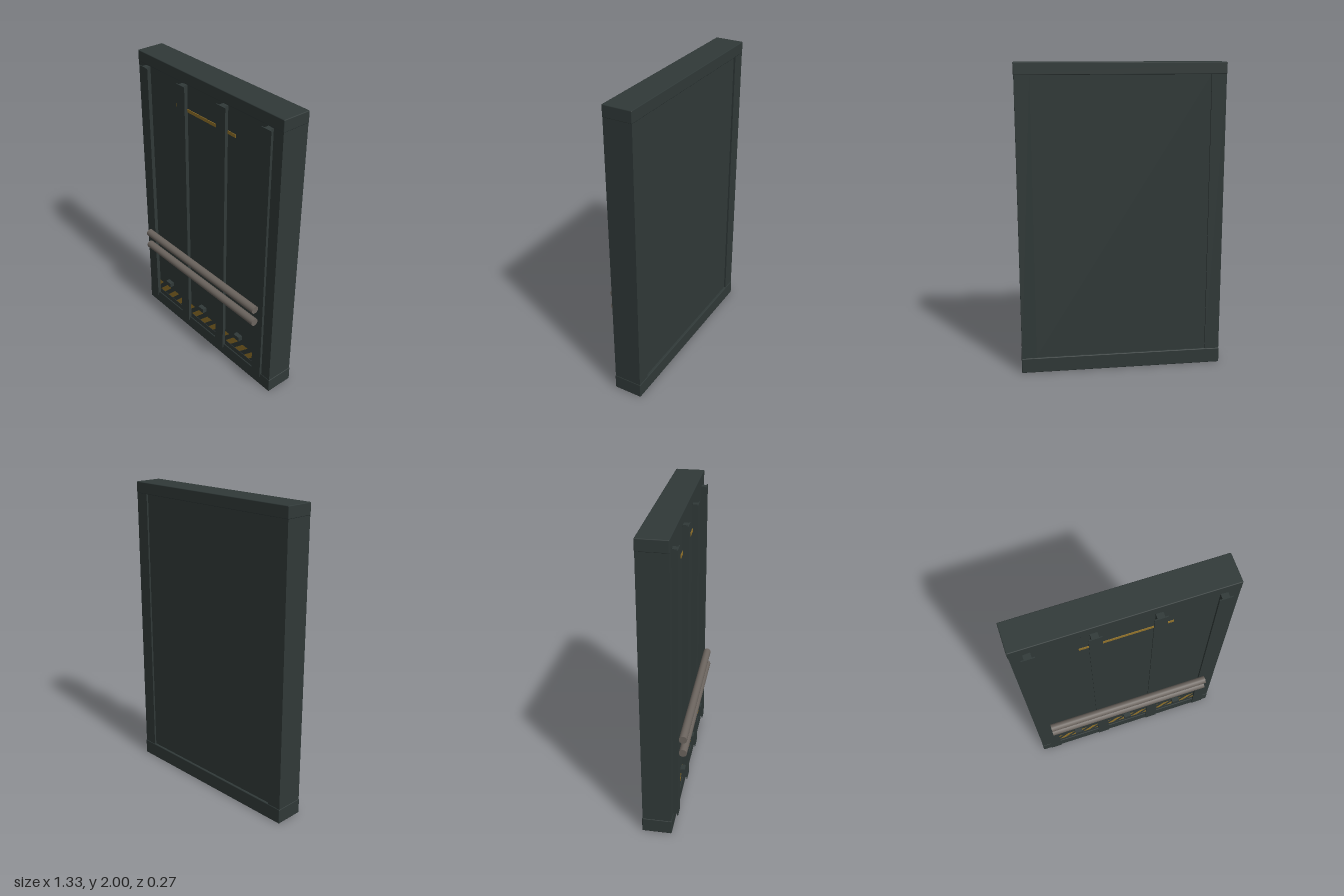
import * as THREE from 'three';
import { RoundedBoxGeometry } from 'three/addons/geometries/RoundedBoxGeometry.js';

const mat = (name, color) => Object.assign(new THREE.MeshStandardMaterial({ color }), { name });

export function createModel() {
  const model = new THREE.Group();
  model.name = 'wallPanel';
  const dark = mat('darkGreenSteel', 0x303938);
  const yellow = mat('hazardYellow', 0x92722a);
  const pipe = mat('pipeMetal', 0x6b645e);

  const add = (name, geo, material, x = 0, y = 0, z = 0) => {
    const mesh = new THREE.Mesh(geo, material);
    mesh.name = name;
    mesh.position.set(x, y, z);
    model.add(mesh);
    return mesh;
  };
  // Box given by its low and high limits on each axis
  const box = (name, [x0, x1], [y0, y1], [z0, z1], material = dark, bevel = 0) => {
    const s = [x1 - x0, y1 - y0, z1 - z0];
    const geo = bevel ? new RoundedBoxGeometry(...s, 1, bevel) : new THREE.BoxGeometry(...s);
    return add(name, geo, material, (x0 + x1) / 2, (y0 + y1) / 2, (z0 + z1) / 2);
  };

  // Base and top beams
  box('baseBeam', [-0.663, 0.663], [0, 0.1], [-0.137, 0.056], dark, 0.005);
  box('topBeam', [-0.663, 0.663], [1.925, 2], [-0.135, 0.055], dark, 0.005);

  // Corner posts and the slightly recessed wall between them
  for (const side of [-1, 1]) {
    const xs = [side * 0.565, side * 0.66].sort((a, b) => a - b);
    box('cornerPost', xs, [0.095, 1.93], [-0.133, 0.053]);
  }
  box('wall', [-0.57, 0.57], [0.095, 1.93], [-0.121, 0.05]);

  // T-section rails on the front
  for (const x of [-0.5625, -0.1875, 0.1875, 0.5625]) {
    box('railWeb', [x - 0.022, x + 0.022], [0.103, 1.922], [0.048, 0.084]);
    box('railFlange', [x - 0.04, x + 0.04], [0.103, 1.922], [0.082, 0.088]);
  }

  // Small blocks and kick plates in each bay
  for (const x of [-0.375, 0, 0.375]) {
    box('bayBlock', [x - 0.026, x + 0.026], [0.287, 0.319], [0.068, 0.098]);
    box('kickPlate', [x - 0.148, x + 0.148], [0.108, 0.143], [0.048, 0.053]);
  }

  // Yellow line near the top
  box('upperLine', [-0.28, 0.28], [1.745, 1.766], [0.049, 0.054], yellow);

  // Slanted hazard stripes across the bays, trimmed at the outer rails
  const pitch = 0.09375, width = 0.05, lean = 0.08, y0 = 0.147, y1 = 0.227, edge = 0.54;
  for (let i = -1; i < 12; i++) {
    const x = -0.53 + i * pitch;
    const at = (t) => x + lean * t;
    const steps = [0, 0.25, 0.5, 0.75, 1];
    const clip = (v) => Math.max(-edge, Math.min(edge, v));
    const pts = [
      ...steps.map((t) => [clip(at(t) + width), t]),
      ...steps.reverse().map((t) => [clip(at(t)), t]),
    ].map(([px, t]) => new THREE.Vector2(px, y0 + (y1 - y0) * t));
    if (at(1) + width <= -edge || at(0) >= edge) continue;
    add('hazardStripe', new THREE.ShapeGeometry(new THREE.Shape(pts)), yellow, 0, 0, 0.0535);
  }

  // Two horizontal pipes across the rails
  const pipeGeo = new THREE.CylinderGeometry(0.026, 0.026, 1.12, 16).rotateZ(Math.PI / 2);
  for (const y of [0.572, 0.672]) add('pipe', pipeGeo, pipe, 0, y, 0.111);

  return model;
}
